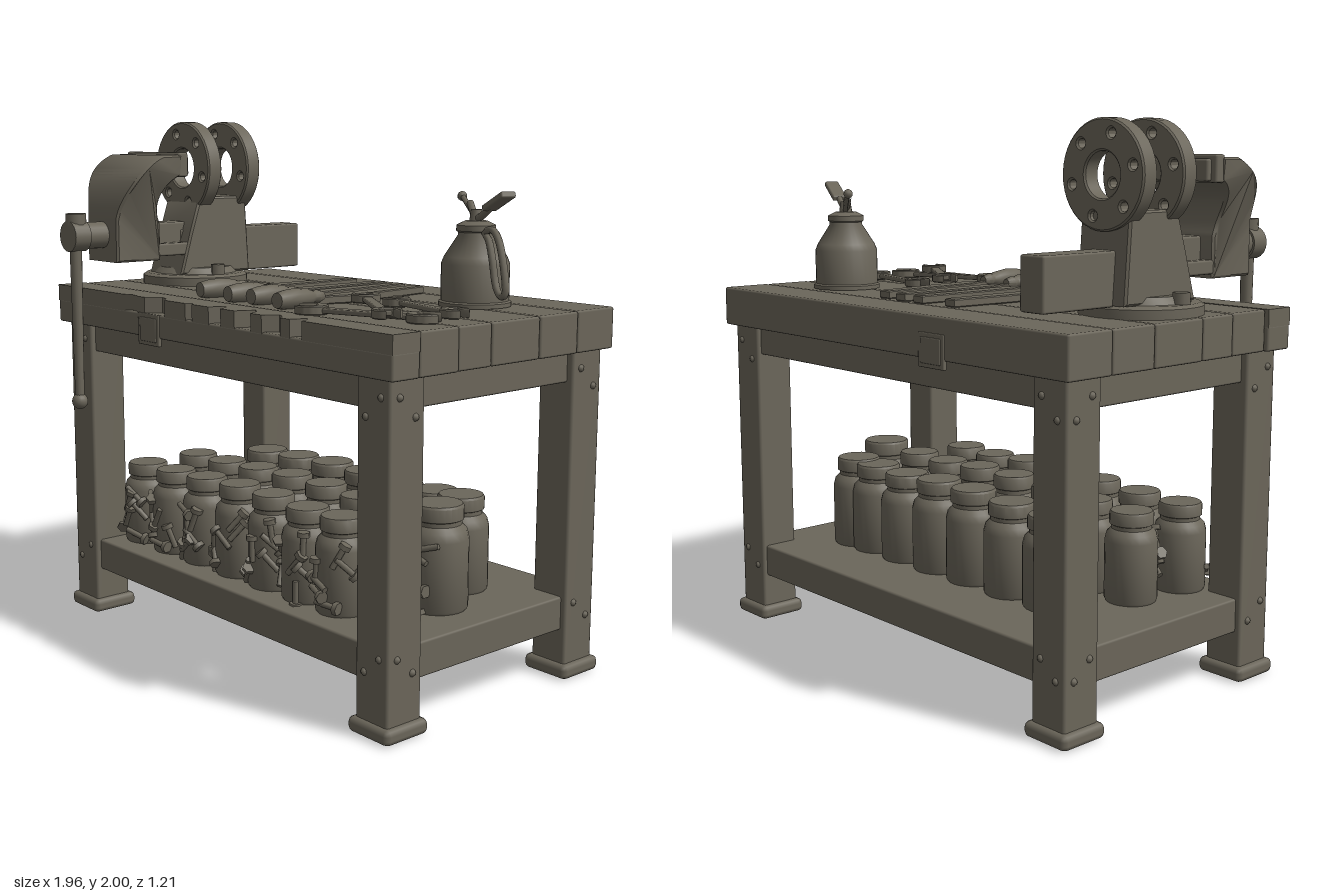
import * as THREE from 'three';
import { toCreasedNormals } from 'three/addons/utils/BufferGeometryUtils.js';
import { RoundedBoxGeometry } from 'three/addons/geometries/RoundedBoxGeometry.js';

const clay = new THREE.MeshStandardMaterial({ color: 0x6b665a });
clay.name = 'grey brown clay';

let seed = 7;
const rand = () => (seed = (seed * 16807) % 2147483647) / 2147483647;
const v3 = (x, y, z) => new THREE.Vector3(x, y, z);

function add(parent, name, geo, x = 0, y = 0, z = 0) {
  const m = new THREE.Mesh(geo, clay);
  m.name = name;
  m.position.set(x, y, z);
  parent.add(m);
  return m;
}
// Box given by its limits on each axis, with softened edges
function box(parent, name, x0, x1, y0, y1, z0, z1, r = 0.008) {
  return add(parent, name, new RoundedBoxGeometry(x1 - x0, y1 - y0, z1 - z0, 1, r),
    (x0 + x1) / 2, (y0 + y1) / 2, (z0 + z1) / 2);
}
const lathe = (pts, n = 24) => toCreasedNormals(
  new THREE.LatheGeometry(pts.map(p => new THREE.Vector2(...p)), n), 0.6);
const outline = pts => new THREE.Shape(pts.map(p => new THREE.Vector2(...p)));
const extrude = (shape, depth, bevel = 0) => toCreasedNormals(new THREE.ExtrudeGeometry(shape, {
  depth, curveSegments: 20, bevelEnabled: bevel > 0, bevelSize: bevel, bevelThickness: bevel, bevelSegments: 1, bevelOffset: -bevel
}), 0.6);

function group(parent, name) {
  const g = new THREE.Group();
  g.name = name;
  parent.add(g);
  return g;
}

function buildTable(root) {
  const t = group(root, 'table');
  // Plank top, each board slightly different in length
  const cuts = [-0.6, -0.4, -0.2, 0.04, 0.2, 0.38];
  for (let i = 0; i < 5; i++)
    box(t, 'plank', -0.98 + rand() * 0.015, 0.98 - rand() * 0.015, 1.2, 1.35 - rand() * 0.004, cuts[i], cuts[i + 1] - 0.003);
  box(t, 'frontPlankBase', -0.98, 0.98, 1.2, 1.29, 0.38, 0.5);
  // Chipped upper half of the front plank
  const edge = [[-0.98, -0.38], [-0.98, -0.5]];
  for (const [a, w, d] of [[-0.5, 0.1, 0.015], [-0.36, 0.13, 0.05], [-0.1, 0.04, 0.02], [0.04, 0.07, 0.06], [0.19, 0.09, 0.07], [0.34, 0.1, 0.05], [0.49, 0.06, 0.06]])
    edge.push([a, -0.5], [a + w * 0.35, -0.5 + d], [a + w * 0.7, -0.5 + d * 0.7], [a + w, -0.5]);
  edge.push([0.98, -0.5], [0.98, -0.38]);
  add(t, 'chippedEdge', extrude(outline(edge), 0.064).rotateX(-Math.PI / 2), 0, 1.285, 0);
  // Through tenon, showing at front and back
  for (const z of [0.497, -0.597]) {
    box(t, 'tenonFrame', -0.4, -0.265, 1.17, 1.29, z - 0.008, z + 0.008, 0.004);
    box(t, 'tenon', -0.385, -0.28, 1.185, 1.275, z - 0.012, z + 0.012, 0.004);
  }
  // Aprons and cross beam
  box(t, 'frontApron', -0.82, 0.82, 1.09, 1.21, 0.38, 0.45);
  box(t, 'backApron', -0.82, 0.82, 1.09, 1.21, -0.55, -0.48);
  box(t, 'crossBeam', -0.37, -0.29, 1.1, 1.21, -0.5, 0.4);
  box(t, 'shelf', -0.92, 0.92, 0.18, 0.305, -0.55, 0.45);
  for (const s of [-1, 1]) {
    box(t, 'sideApron', s * 0.88 - 0.035, s * 0.88 + 0.035, 1.09, 1.21, -0.45, 0.36);
    for (const z of [0.395, -0.49]) {
      const x = s * 0.866, face = Math.sign(z);
      box(t, 'leg', x - 0.076, x + 0.076, 0.03, 1.21, z - 0.077, z + 0.077, 0.01);
      box(t, 'foot', x - 0.098, x + 0.098, 0, 0.055, z - 0.097, z + 0.097, 0.02);
      // Bolt heads at the joints
      for (const [y, o] of [[0.22, -0.035], [0.28, 0.035], [1.07, -0.035], [1.14, 0.035]]) {
        add(t, 'legBolt', new THREE.SphereGeometry(0.014, 8, 6), x + s * 0.073, y, z + o);
        add(t, 'legBolt', new THREE.SphereGeometry(0.014, 8, 6), x + o, y, z + face * 0.073);
      }
    }
  }
}

function buildJars(root) {
  const jars = group(root, 'jars');
  function jar(x, z, r, top, loaded) {
    const j = group(jars, 'jar');
    j.position.set(x, 0.3, z);
    const h = top - 0.3;
    add(j, 'jarBody', lathe([[0, 0], [r * 0.92, 0], [r, 0.015], [r, h * 0.68], [r * 0.93, h * 0.76], [r * 0.76, h * 0.81],
      [r * 0.76, h * 0.85], [r * 0.83, h * 0.86], [r * 0.83, h - 0.008], [r * 0.78, h], [0, h]]));
    if (!loaded) return;
    // Loose screws and nuts clinging to the front of the jar
    for (let i = 0; i < 6; i++) {
      const a = (rand() - 0.5) * 1.9, y = h * (0.14 + 0.1 * i);
      const piece = group(j, 'screw');
      piece.position.set(Math.sin(a) * r * 1.03, y, Math.cos(a) * r * 1.03);
      piece.rotation.set(0, a, rand() * Math.PI * 2);
      add(piece, 'shank', new THREE.CylinderGeometry(0.011, 0.011, 0.09, 7));
      add(piece, 'head', new THREE.CylinderGeometry(0.024, 0.024, 0.018, 6), 0, 0.045, 0);
    }
  }
  const tops = [0.63, 0.635, 0.645, 0.655, 0.655, 0.645, 0.65];
  const xs = [-0.685, -0.485, -0.28, -0.07, 0.13, 0.325, 0.51];
  xs.forEach((x, i) => {
    jar(x, 0.28, 0.096, tops[i], true);
    jar(x + 0.02, 0.04, 0.096, tops[i] + 0.005, true);
    if (i) jar(x - 0.04, -0.22, 0.104, tops[i] + 0.003, false);
  });
  jar(0.6, -0.22, 0.104, 0.66, false);
  jar(0.7, 0, 0.11, 0.685, true);
}

function buildVise(root) {
  const v = group(root, 'vise');
  v.position.x = -0.737;
  add(v, 'swivelBase', lathe([[0, 0], [0.215, 0], [0.215, 0.035], [0.2, 0.045], [0.17, 0.045], [0.15, 0.07], [0, 0.07]], 32), 0, 1.345, -0.01);
  for (const s of [-1, 1]) add(v, 'baseBolt', new THREE.CylinderGeometry(0.03, 0.03, 0.06, 6), s * 0.17, 1.4, 0);
  // Shapes drawn with z across and y up, then turned to run along x
  const side = (shape, w) => extrude(shape, w, 0.008).rotateY(-Math.PI / 2).translate(w / 2, 0, 0);
  add(v, 'body', side(outline([[-0.21, 1.39], [0.14, 1.39], [0.09, 1.56], [0.05, 1.68], [0.03, 1.7], [-0.19, 1.7]]), 0.21));
  box(v, 'slideBar', -0.055, 0.055, 1.385, 1.57, -0.525, 0.1);
  for (const s of [-1, 1]) box(v, 'guideRail', s * 0.08 - 0.025, s * 0.08 + 0.025, 1.47, 1.52, 0, 0.26);
  box(v, 'screwHousing', -0.05, 0.05, 1.49, 1.6, 0, 0.3);
  // Twin flanges with bolt holes
  const ring = new THREE.Shape().absarc(0, 0, 0.185, 0, Math.PI * 2);
  ring.holes.push(new THREE.Path().absarc(0, 0, 0.078, 0, Math.PI * 2, true));
  for (let i = 0; i < 6; i++) {
    const a = Math.PI / 6 * (1.5 + 2 * i) + 0.02;
    ring.holes.push(new THREE.Path().absarc(Math.cos(a) * 0.14, Math.sin(a) * 0.14, 0.016, 0, Math.PI * 2, true));
  }
  for (const z of [-0.01, -0.205]) add(v, 'flange', extrude(ring, 0.055, 0.006), 0, 1.815, z);
  // Curved front jaw, flaring in width toward the top
  const s = new THREE.Shape();
  s.moveTo(0.235, 1.455);
  s.lineTo(0.44, 1.455);
  s.lineTo(0.44, 1.62);
  s.quadraticCurveTo(0.41, 1.82, 0.27, 1.87);
  s.lineTo(0.18, 1.87);
  s.lineTo(0.18, 1.79);
  s.quadraticCurveTo(0.29, 1.74, 0.235, 1.6);
  const jaw = side(s, 0.2), p = jaw.attributes.position;
  for (let i = 0; i < p.count; i++)
    p.setX(i, p.getX(i) * (1 + 0.75 * THREE.MathUtils.smoothstep(p.getY(i), 1.62, 1.83)));
  add(v, 'frontJaw', toCreasedNormals(jaw, 0.6));
  box(v, 'jawPlate', -0.183, 0.183, 1.785, 1.88, 0.15, 0.195);
  box(v, 'jawLip', -0.16, 0.16, 1.79, 1.865, 0.13, 0.16);
  // Screw and hanging handle
  add(v, 'screw', new THREE.CylinderGeometry(0.052, 0.052, 0.18, 20).rotateX(Math.PI / 2), 0, 1.56, 0.5);
  add(v, 'screwCollar', new THREE.CylinderGeometry(0.06, 0.06, 0.07, 20).rotateX(Math.PI / 2), 0, 1.56, 0.56);
  add(v, 'handleRod', new THREE.CylinderGeometry(0.025, 0.018, 0.72, 14), 0, 1.26, 0.562);
  add(v, 'handleKnob', new THREE.CylinderGeometry(0.04, 0.04, 0.045, 14), 0, 1.625, 0.558);
  add(v, 'handleBall', new THREE.SphereGeometry(0.032, 16, 12), 0, 0.908, 0.562);
}

function buildOilCan(root) {
  const c = group(root, 'oilCan');
  c.position.set(0.62, 1.35, -0.25);
  add(c, 'canBody', lathe([[0, 0], [0.13, 0], [0.13, 0.015], [0.122, 0.02], [0.122, 0.15], [0.112, 0.175], [0.064, 0.25],
    [0.064, 0.26], [0.07, 0.265], [0.07, 0.285], [0.04, 0.3], [0, 0.3]], 32));
  const tube = (name, pts, r, closed = false) =>
    add(c, name, new THREE.TubeGeometry(new THREE.CatmullRomCurve3(pts, closed), 32, r, 8, closed));
  tube('spout', [v3(0.03, 0.285, 0.02), v3(-0.07, 0.33, -0.05), v3(-0.18, 0.375, -0.12)], 0.01);
  add(c, 'spoutTip', new THREE.SphereGeometry(0.018, 10, 8), -0.185, 0.377, -0.122);
  add(c, 'pump', new THREE.CylinderGeometry(0.02, 0.028, 0.06, 12), 0, 0.31, 0);
  // Lever and looped grip lie in one tilted upright plane
  const d = x => x * 0.44;
  tube('lever', [v3(-0.06, 0.36, -0.03), v3(0, 0.31, 0), v3(0.12, 0.355, d(0.12))], 0.013);
  const paddle = add(c, 'thumbPaddle', new RoundedBoxGeometry(0.17, 0.022, 0.055, 1, 0.006), 0.17, 0.375, d(0.17));
  paddle.rotation.set(0, -Math.atan(0.44), 0.33, 'YXZ');
  const loop = [[0.07, 0.26], [0.13, 0.275], [0.18, 0.24], [0.235, 0.1], [0.235, 0.065], [0.2, 0.055], [0.165, 0.085], [0.13, 0.18], [0.1, 0.24]];
  tube('grip', loop.map(([x, y]) => v3(x, y, d(x))), 0.013, true);
}

function buildTools(root) {
  const g = group(root, 'benchTools');
  // Files with flat blades and turned handles, given by back and front ends
  const files = [[-0.18, -0.39, -0.205, 0.36], [-0.015, -0.4, -0.022, 0.37], [0.085, -0.4, 0.1, 0.36], [0.2, -0.385, 0.26, 0.37]];
  for (const [x0, z0, x1, z1] of files) {
    const f = group(g, 'file'), len = Math.hypot(x1 - x0, z1 - z0);
    f.position.set(x1, 1.35, z1);
    f.rotation.y = Math.atan2(x1 - x0, z1 - z0);
    const blade = outline([[-0.012, 0.18], [0.012, 0.18], [0.014, 0.27], [0.036, 0.32], [0.036, 0.5], [0.026, len], [-0.026, len], [-0.036, 0.5], [-0.036, 0.32], [-0.014, 0.27]]);
    add(f, 'blade', extrude(blade, 0.022, 0.004).rotateX(-Math.PI / 2), 0, 0.002, 0);
    const grip = lathe([[0, 0], [0.028, 0.004], [0.035, 0.04], [0.038, 0.1], [0.03, 0.16], [0.022, 0.18], [0.025, 0.2], [0.016, 0.23], [0, 0.23]], 12);
    add(f, 'grip', grip.rotateX(-Math.PI / 2), 0, 0.03, 0);
  }
  // Open-ended wrenches: two notched round heads on a slim bar
  function wrench(x0, z0, x1, z1, y, r) {
    const w = group(g, 'wrench'), len = Math.hypot(x1 - x0, z1 - z0);
    w.position.set((x0 + x1) / 2, y, (z0 + z1) / 2);
    w.rotation.y = -Math.atan2(z1 - z0, x1 - x0);
    const bar = len / 2 - r * 1.2;
    add(w, 'bar', new RoundedBoxGeometry(bar * 2, 0.018, r * 0.72, 1, 0.005), 0, 0.011, 0);
    for (const s of [0, 1]) {
      const head = new THREE.Shape();
      head.absarc(0, 0, r, 0.5, Math.PI * 2 - 0.5);
      head.lineTo(-r * 0.15, -r * 0.48);
      head.lineTo(-r * 0.35, 0);
      head.lineTo(-r * 0.15, r * 0.48);
      const m = add(w, 'jaw', extrude(head, 0.024, 0.004).rotateX(-Math.PI / 2), (s ? -1 : 1) * (len / 2 - r), 0, 0);
      m.rotation.y = s * Math.PI + 0.3;
    }
  }
  wrench(0.41, -0.03, 0.87, 0.075, 1.354, 0.05);
  wrench(0.36, 0.36, 0.89, 0.2, 1.352, 0.06);
  wrench(0.36, 0.05, 0.82, 0.36, 1.37, 0.052);
}

export function createModel() {
  const root = new THREE.Group();
  root.name = 'workbench';
  buildTable(root);
  buildJars(root);
  buildVise(root);
  buildOilCan(root);
  buildTools(root);
  return root;
}
